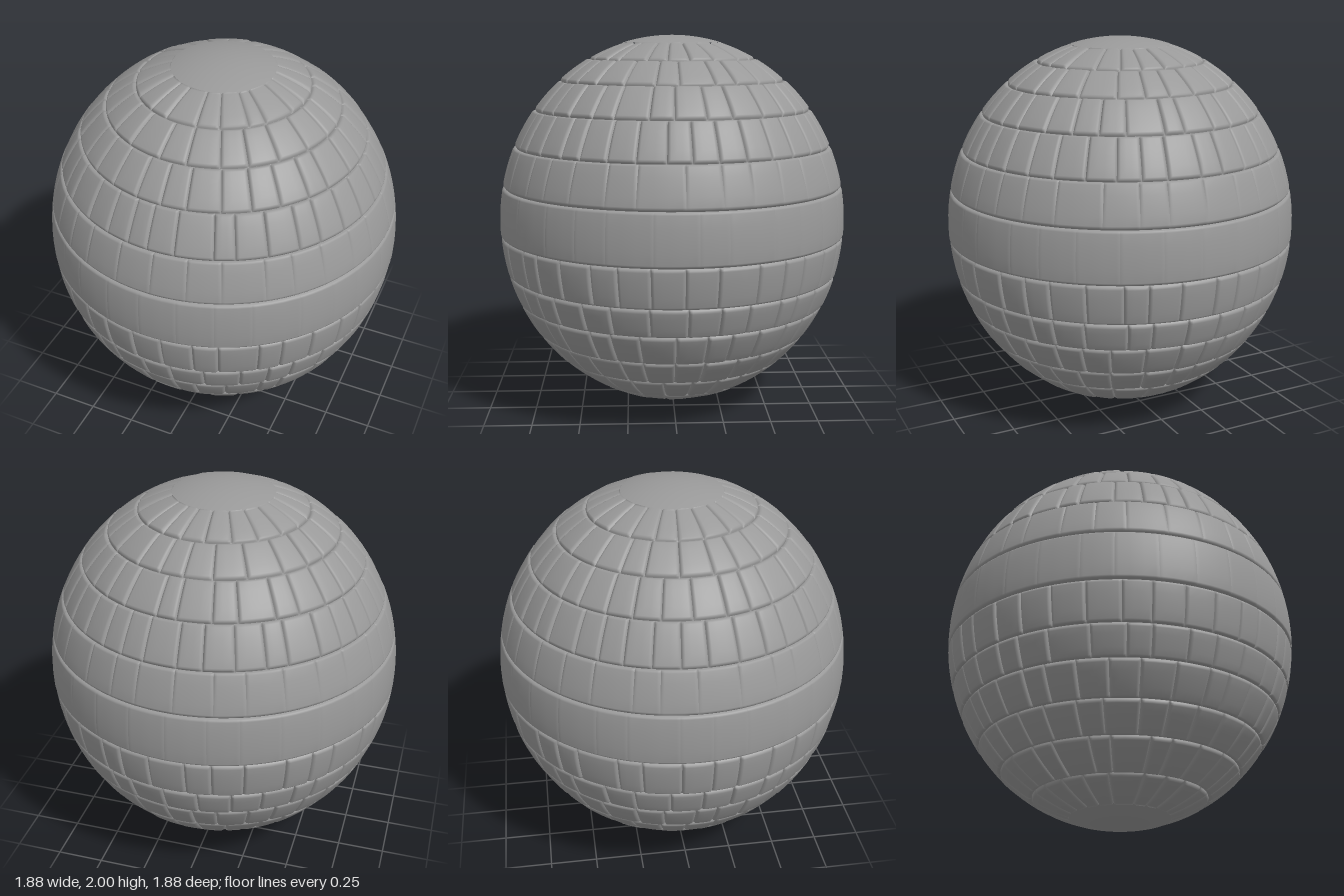
import * as THREE from 'three';
import { mergeGeometries } from 'three/addons/utils/BufferGeometryUtils.js';

const RADIUS = 0.94;   // horizontal radius; the vertical radius is 1
const GROOVE = 0.017;  // depth of the joints

// Courses from top to bottom: [top y, bottom y, stone count, joint strength at top, at bottom]
const COURSES = [
  [1.96, 1.88, 22, 0.7, 1],
  [1.88, 1.765, 25, 1, 1],
  [1.765, 1.61, 32, 1, 1],
  [1.61, 1.415, 38, 1, 1],
  [1.415, 1.2, 32, 0.5, 0.08],
  [1.2, 0.93, 30, 0.08, 0.08],
  [0.93, 0.72, 36, 1, 1],
  [0.72, 0.565, 34, 1, 1],
  [0.565, 0.4, 34, 1, 1],
  [0.4, 0.26, 30, 1, 1],
  [0.26, 0.13, 26, 1, 1],
  [0.13, 0.04, 22, 1, 0.7],
];

function seeded(seed) {
  return () => {
    seed = (seed * 1664525 + 1013904223) % 4294967296;
    return seed / 4294967296;
  };
}

// Sample positions across a stone: close together at the rounded rims
function samples(length, inner) {
  const rim = [0, 0.004, 0.009, 0.018].map((d) => Math.min(d / length, 0.3));
  const list = [...rim];
  for (let i = 1; i < inner; i++) list.push(rim[3] + (1 - 2 * rim[3]) * i / inner);
  return [...list, ...rim.map((d) => 1 - d).reverse()];
}

// Rounded fall of the surface at a distance from the joint
const fall = (d) => Math.pow(Math.max(0, 1 - d / 0.018), 2.2);

// One gently domed stone covering a patch of the ball
function stone(phi0, phi1, th0, th1, course, random) {
  const [topY, bottomY, , strengthTop, strengthBottom] = course;
  const height = phi1 - phi0;
  const width = (th1 - th0) * RADIUS * Math.sin((phi0 + phi1) / 2);
  const us = samples(width, 3), vs = samples(height, 4);
  const smoothBand = strengthBottom < 0.5;
  const sink = smoothBand ? 0 : random() * 0.004;
  const tilt = smoothBand ? 0 : (random() - 0.5) * 0.005;
  const position = [], index = [];
  vs.forEach((v, j) => us.forEach((u, i) => {
    const phi = phi0 + height * v, th = th0 + (th1 - th0) * u;
    const side = fall(Math.min(u, 1 - u) * width) * THREE.MathUtils.lerp(strengthTop, strengthBottom, v);
    // the rims that meet the smooth polar caps stay flush
    const top = topY > 1.95 ? 0 : fall(v * height);
    const bottom = bottomY < 0.05 ? 0 : fall((1 - v) * height);
    const drop = Math.min(1, Math.hypot(side, top, bottom));
    const flush = (topY > 1.95 && j === 0) || (bottomY < 0.05 && j === vs.length - 1);
    const face = flush ? 0 : (sink + tilt * (u - 0.5)) * (1 - drop);
    const k = 1 - GROOVE * drop - Math.max(0, face);
    position.push(k * RADIUS * Math.sin(phi) * Math.sin(th), 1 + k * Math.cos(phi),
      k * RADIUS * Math.sin(phi) * Math.cos(th));
  }));
  const n = us.length;
  for (let j = 0; j < vs.length - 1; j++) {
    for (let i = 0; i < n - 1; i++) {
      const a = j * n + i, b = a + 1, c = a + n, d = c + 1;
      index.push(a, c, b, b, c, d);
    }
  }
  const geometry = new THREE.BufferGeometry();
  geometry.setAttribute('position', new THREE.Float32BufferAttribute(position, 3));
  geometry.setIndex(index);
  geometry.computeVertexNormals();
  return geometry;
}

export function createModel() {
  const group = new THREE.Group();
  const stoneGray = new THREE.MeshStandardMaterial({ color: 0x999999 });
  stoneGray.name = 'stone gray';
  const random = seeded(7);

  const add = (geometry, name) => {
    const mesh = new THREE.Mesh(geometry, stoneGray);
    mesh.name = name;
    group.add(mesh);
  };

  // Rings of stones with uneven widths
  COURSES.forEach((course, row) => {
    const [topY, bottomY, count] = course;
    const step = Math.PI * 2 / count, start = random() * step;
    const edges = [];
    for (let i = 0; i < count; i++) edges.push(start + step * (i + (random() - 0.5) * 0.36));
    edges.push(edges[0] + Math.PI * 2);
    const phi0 = Math.acos(topY - 1), phi1 = Math.acos(bottomY - 1);
    const stones = [];
    for (let i = 0; i < count; i++) {
      stones.push(stone(phi0, phi1, edges[i], edges[i + 1], course, random));
    }
    add(mergeGeometries(stones), `stoneCourse${row + 1}`);
  });

  // Smooth polar caps
  const capAngle = Math.acos(0.96);
  for (const [name, from] of [['topCap', 0], ['bottomCap', Math.PI - capAngle]]) {
    const cap = new THREE.SphereGeometry(1, 64, 8, 0, Math.PI * 2, from, capAngle);
    add(cap.scale(RADIUS, 1, RADIUS).translate(0, 1, 0), name);
  }

  // Solid core closing the joints from behind
  const core = new THREE.SphereGeometry(0.978, 64, 40);
  add(core.scale(RADIUS, 1, RADIUS).translate(0, 1, 0), 'jointCore');
  return group;
}
